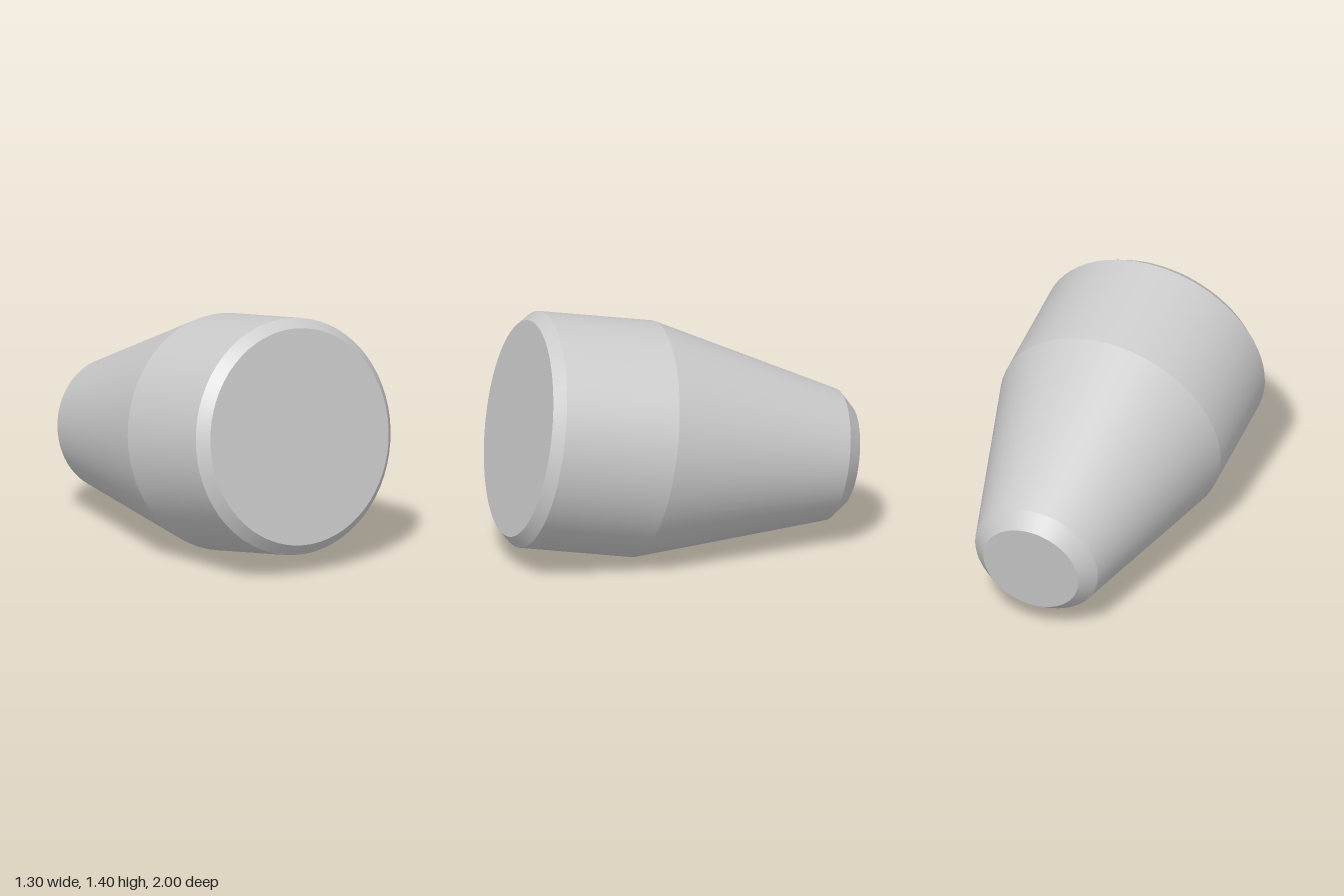
import * as THREE from 'three';

const SEGMENTS = 64;
const TILT = THREE.MathUtils.degToRad(10);
const AXIS_HEIGHT = 0.603; // distance of the tilted axis from the origin

export function createModel() {
  const model = new THREE.Group();
  model.name = 'taperedPlug';

  const grey = new THREE.MeshStandardMaterial({ color: 0xcccccc });
  grey.name = 'light grey';

  // Body axis is local y, front end at +y
  const body = new THREE.Group();
  body.name = 'body';
  body.rotation.x = Math.PI / 2 - TILT;
  body.position.set(0, AXIS_HEIGHT * Math.cos(TILT), -AXIS_HEIGHT * Math.sin(TILT));
  model.add(body);

  const add = (name, geometry) => {
    const mesh = new THREE.Mesh(geometry, grey);
    mesh.name = name;
    body.add(mesh);
    return mesh;
  };

  // Open frustums from rear to front, separate so the edges stay sharp
  const rings = [[0.28, -0.859], [0.362, -0.777], [0.651, 0.309], [0.651, 0.96], [0.596, 1.021]];
  const names = ['rearBevel', 'taperedCone', 'cylinder', 'frontBevel'];
  names.forEach((name, i) => {
    const [r0, y0] = rings[i];
    const [r1, y1] = rings[i + 1];
    const band = add(name, new THREE.CylinderGeometry(r1, r0, y1 - y0, SEGMENTS, 1, true));
    band.position.y = (y0 + y1) / 2;
  });

  // Flat end faces
  [['rearFace', rings[0], Math.PI / 2], ['frontFace', rings[4], -Math.PI / 2]].forEach(([name, [r, y], turn]) => {
    const face = add(name, new THREE.CircleGeometry(r, SEGMENTS));
    face.rotation.x = turn;
    face.position.y = y;
  });

  return model;
}
